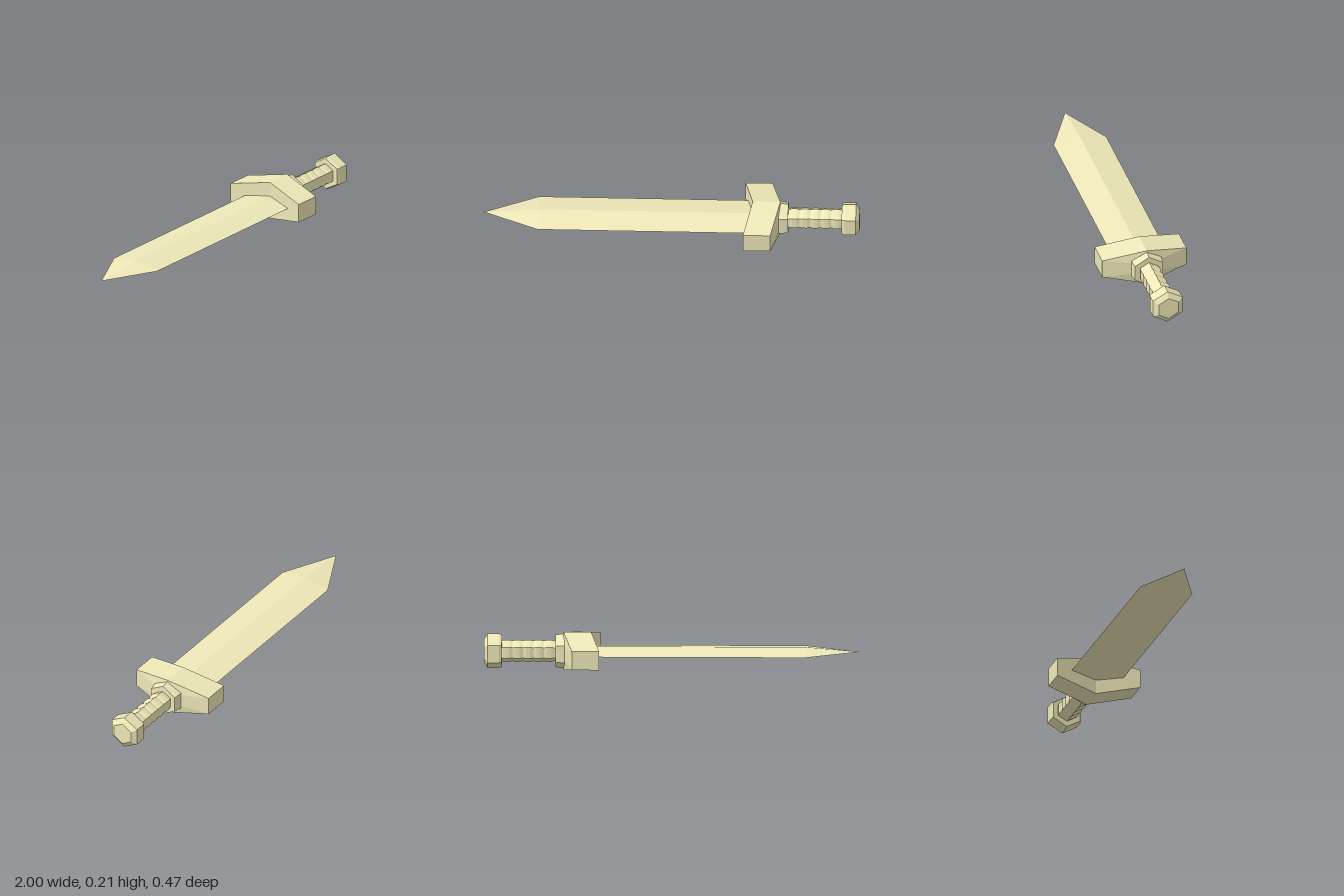
import * as THREE from 'three';

const AXIS_Y = 0.104; // height of the sword's long axis

export function createModel() {
  const group = new THREE.Group();
  const material = new THREE.MeshStandardMaterial({ color: 0xeee8b8, flatShading: true });

  const add = (name, geometry) => {
    const mesh = new THREE.Mesh(geometry, material);
    mesh.name = name;
    mesh.position.y = AXIS_Y;
    group.add(mesh);
  };

  // Faceted solid along x from [radius, x] pairs, with a corner pointing up
  const faceted = (profile, sides) => {
    const points = profile.map(([r, x]) => new THREE.Vector2(r, x));
    return new THREE.LatheGeometry(points, sides, Math.PI / 2).rotateZ(-Math.PI / 2);
  };

  // Blade: flat diamond section tapering to a point
  const blade = faceted([[0, -1], [0.146, -0.71], [0.146, 0.45], [0, 0.45]], 4);
  add('blade', blade.scale(1, 0.17, 1));

  add('guard', guardGeometry());

  // Hexagonal collar between guard and grip
  add('collar', faceted([[0, 0.57], [0.094, 0.57], [0.094, 0.58], [0.088, 0.62], [0, 0.62]], 6));

  // Grip: five shallow swellings
  const grip = [[0, 0.61], [0.055, 0.61]];
  const ribs = 5, start = 0.625, step = 0.056;
  for (let i = 0; i < ribs; i++) {
    const x = start + i * step;
    grip.push([0.055, x], [0.06, x + step * 0.3], [0.06, x + step * 0.7]);
  }
  grip.push([0.055, 0.91], [0, 0.91]);
  add('grip', faceted(grip, 6));

  // Pommel with bevelled end
  add('pommel', faceted([[0, 0.905], [0.087, 0.905], [0.094, 0.92], [0.094, 0.98], [0.063, 1], [0, 1]], 6));

  return group;
}

// Swept-back crossguard: one quarter mirrored in y and z
function guardGeometry() {
  const ridgeFront = [0.43, 0.103, 0], ridgeBack = [0.577, 0.103, 0];
  const endFront = [0.385, 0.051, 0.233], endBack = [0.53, 0.051, 0.233];
  const seat = [0.577, 0.031, 0.055];
  const mid = ([x, , z]) => [x, 0, z];
  const faces = [
    [ridgeFront, endFront, endBack, ridgeBack], // sloping top
    [endFront, mid(endFront), mid(endBack), endBack], // end
    [ridgeBack, endBack, seat], // upper facet, grip side
    [seat, endBack, mid(endBack), mid(seat)], // middle facet, grip side
    [mid(ridgeBack), ridgeBack, seat, mid(seat)], // flat seat for the collar
    [ridgeFront, mid(ridgeFront), mid(endFront), endFront], // blade side
  ];
  const positions = [];
  for (const sy of [1, -1]) for (const sz of [1, -1]) {
    for (const face of faces) {
      const corners = face.map(([x, y, z]) => [x, y * sy, z * sz]);
      if (sy * sz < 0) corners.reverse();
      for (let i = 1; i < corners.length - 1; i++) {
        positions.push(...corners[0], ...corners[i], ...corners[i + 1]);
      }
    }
  }
  const geometry = new THREE.BufferGeometry();
  geometry.setAttribute('position', new THREE.Float32BufferAttribute(positions, 3));
  geometry.computeVertexNormals();
  return geometry;
}
